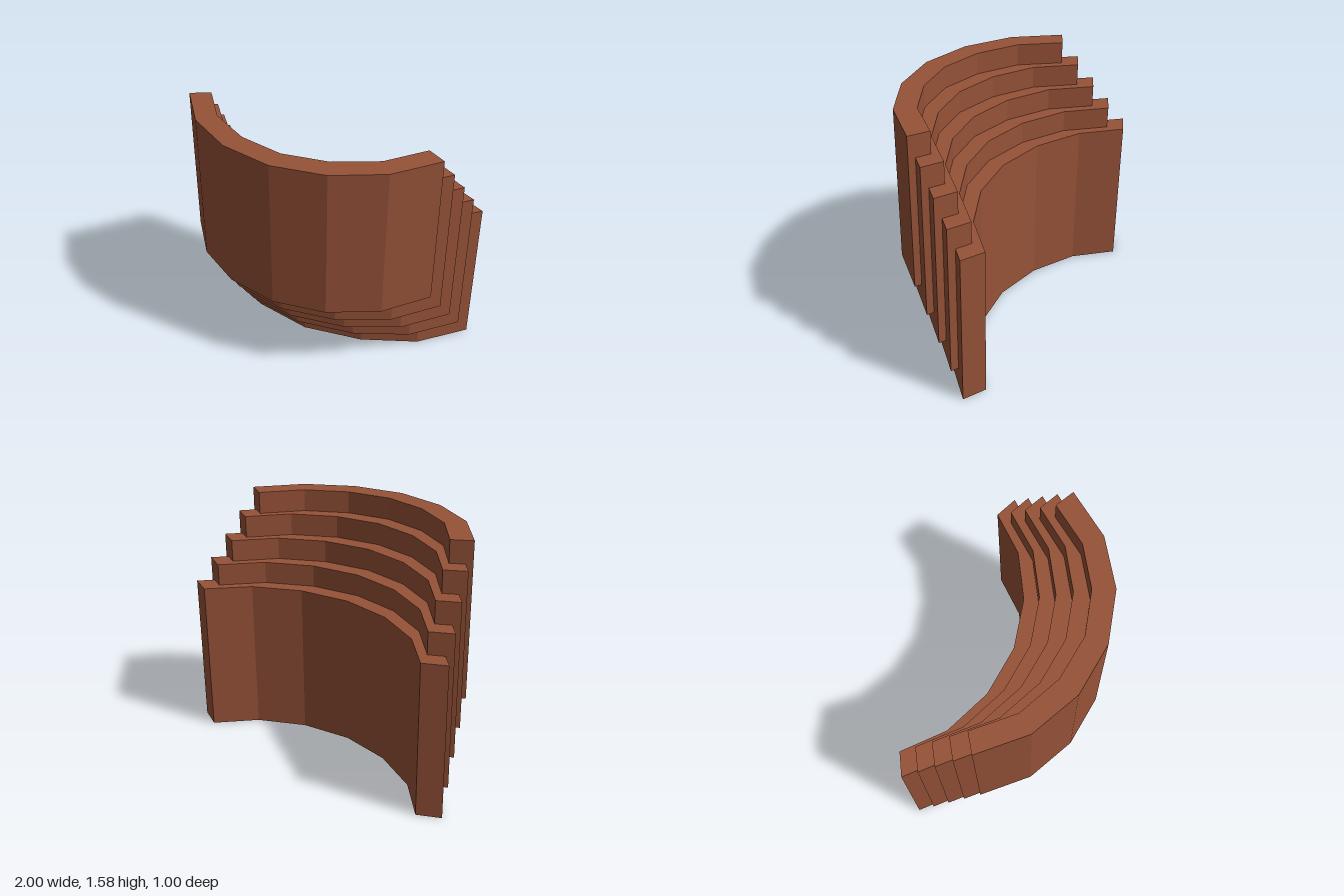
import * as THREE from 'three';

// Right half of the curved plan as [x, z], from the centre outwards
const LOW = {
  outer: [[0, 0.07], [0.395, 0], [0.745, -0.16], [1, -0.43]],
  inner: [[0, -0.077], [0.337, -0.13], [0.64, -0.278], [0.857, -0.5]],
};
const HIGH = {
  outer: [[0, 0.498], [0.34, 0.436], [0.64, 0.265], [0.86, 0]],
  inner: [[0, 0.357], [0.29, 0.303], [0.55, 0.16], [0.74, -0.07]],
};
const COUNT = 5, HEIGHT = 1.012, RISE = 0.1428;

const blend = (a, b, t) =>
  a.map((p, i) => p.map((v, k) => THREE.MathUtils.lerp(v, b[i][k], t)));

// Full arc, left to right, from its mirrored half
const mirrored = (half) => [
  ...half.slice(1).reverse().map(([x, z]) => [-x, z]),
  ...half,
];

function curvedSlab(t) {
  const outer = mirrored(blend(LOW.outer, HIGH.outer, t));
  const inner = mirrored(blend(LOW.inner, HIGH.inner, t)).reverse();
  const shape = new THREE.Shape(
    [...outer, ...inner].map(([x, z]) => new THREE.Vector2(x, -z)));
  const geometry = new THREE.ExtrudeGeometry(shape, { depth: HEIGHT, bevelEnabled: false });
  return geometry.rotateX(-Math.PI / 2);
}

export function createModel() {
  const group = new THREE.Group();
  group.name = 'steppedCurvedWall';
  const brown = new THREE.MeshStandardMaterial({ color: 0x965238 });
  brown.name = 'reddish brown';

  // Overlapping slabs, each higher, narrower and further forward
  for (let i = 0; i < COUNT; i++) {
    const slab = new THREE.Mesh(curvedSlab(i / (COUNT - 1)), brown);
    slab.name = `curvedSlab${i + 1}`;
    slab.position.y = i * RISE;
    group.add(slab);
  }
  return group;
}
